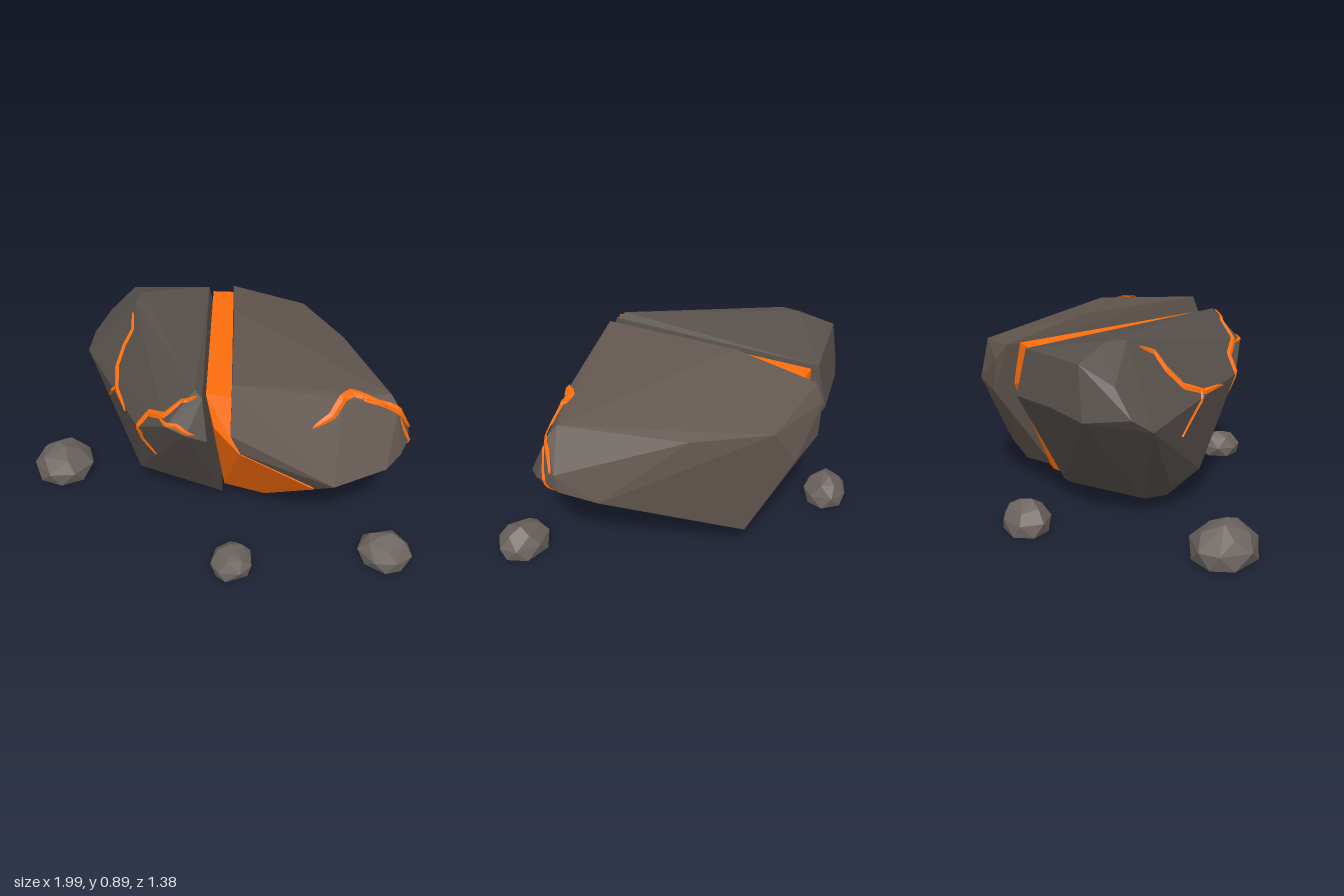
import * as THREE from 'three';
import { ConvexGeometry } from 'three/addons/geometries/ConvexGeometry.js';

const V = (p) => new THREE.Vector3(...p);
const paint = (color, side = THREE.FrontSide) =>
  new THREE.MeshStandardMaterial({ color, side, flatShading: true });

// A faceted rock is the convex hull of its corner points
function hull(name, points, material) {
  const mesh = new THREE.Mesh(new ConvexGeometry(points.map(V)), material);
  mesh.name = name;
  mesh.updateMatrixWorld();
  return mesh;
}

// Raised tapered ribbon: the path is dropped onto the rock from direction d
function crack(name, rock, d, path, width, material) {
  const dir = V(d).normalize();
  const ray = new THREE.Raycaster();
  const spots = [];
  const steps = (path.length - 1) * 4;
  for (let i = 0; i <= steps; i++) {
    const k = Math.min(Math.floor(i / 4), path.length - 2);
    const p = V(path[k]).lerp(V(path[k + 1]), i / 4 - k);
    ray.set(p.addScaledVector(dir, 3), dir.clone().negate());
    const hit = ray.intersectObject(rock)[0];
    if (hit) spots.push({ p: hit.point, n: hit.face.normal });
  }
  const pos = [], index = [], last = spots.length - 1;
  spots.forEach(({ p, n }, i) => {
    const along = spots[Math.min(i + 1, last)].p.clone().sub(spots[Math.max(i - 1, 0)].p);
    const side = along.cross(n).normalize();
    const t = i / last;
    const w = width * (0.15 + 0.85 * Math.pow(Math.sin(Math.PI * t), 0.6));
    const left = p.clone().addScaledVector(side, w).addScaledVector(n, 0.004);
    const right = p.clone().addScaledVector(side, -w).addScaledVector(n, 0.004);
    const ridge = p.clone().addScaledVector(n, 0.011);
    for (const q of [left, ridge, right]) pos.push(q.x, q.y, q.z);
    if (i === 0) return;
    const a = (i - 1) * 3, b = i * 3;
    for (const j of [0, 1]) index.push(a + j, b + j, a + j + 1, b + j, b + j + 1, a + j + 1);
  });
  const geo = new THREE.BufferGeometry();
  geo.setAttribute('position', new THREE.Float32BufferAttribute(pos, 3));
  geo.setIndex(index);
  geo.computeVertexNormals();
  const mesh = new THREE.Mesh(geo, material);
  mesh.name = name;
  return mesh;
}

// Small flat-bottomed stone: jittered rings of [radius, height, corners]
function pebble(name, x, z, rx, rz, h, seed, material) {
  const rand = () => (seed = (seed * 16807) % 2147483647) / 2147483647;
  const turn = seed;
  const points = [];
  for (const [r, y, n] of [[0.95, 0, 7], [1, 0.42, 7], [0.66, 0.8, 5], [0.22, 1, 2]]) {
    for (let i = 0; i < n; i++) {
      const a = turn + y + ((i + 0.35 * rand()) / n) * Math.PI * 2;
      const s = r * (0.94 + 0.12 * rand());
      points.push([x + rx * s * Math.cos(a),
        0.003 + h * y * (0.86 + 0.14 * rand()), z + rz * s * Math.sin(a)]);
    }
  }
  return hull(name, points, material);
}

export function createModel() {
  const model = new THREE.Group();
  const stone = paint(0x62574f);
  const darkStone = paint(0x57504b);
  const pebbleStone = paint(0x6a625d);
  const lava = paint(0xff6e0c);
  const lavaLine = paint(0xff6e0c, THREE.DoubleSide);

  // Narrow half of the split boulder
  const narrow = hull('narrowRockHalf', [
    // top
    [-0.54, 0.89, -0.22], [-0.53, 0.885, -0.13], [0.0, 0.862, 0.44], [-0.29, 0.81, -0.52],
    // outer shoulder
    [-0.72, 0.75, -0.23], [-0.64, 0.83, -0.36], [-0.8, 0.63, -0.18], [-0.8, 0.57, -0.09],
    [-0.7, 0.6, -0.36], [-0.54, 0.62, -0.46], [-0.3, 0.6, -0.57], [-0.26, 0.62, -0.55],
    // front nose
    [-0.28, 0.61, 0.46], [-0.1, 0.72, 0.55], [0.0, 0.7, 0.56], [0.08, 0.66, 0.52], [0.04, 0.84, 0.46],
    // underside
    [-0.42, 0.09, -0.02], [-0.45, 0.15, 0.1], [-0.375, 0.19, 0.262], [-0.39, 0.08, 0.1],
    [0.03, 0.08, 0.19], [-0.14, 0.08, -0.31], [-0.15, 0.105, -0.34],
  ], darkStone);

  // Wide half of the split boulder
  const wide = hull('wideRockHalf', [
    // top
    [0.15, 0.89, 0.39], [-0.05, 0.885, -0.22], [-0.13, 0.82, -0.46], [-0.18, 0.8, -0.59],
    [0.19, 0.735, -0.64], [0.46, 0.725, -0.4], [0.78, 0.765, 0.06], [0.59, 0.795, 0.2],
    // back
    [-0.16, 0.73, -0.64], [0.09, 0.57, -0.69], [-0.13, 0.57, -0.65],
    // outer end
    [0.82, 0.72, 0.08], [0.87, 0.58, 0.0], [0.88, 0.53, 0.06], [0.77, 0.455, -0.16],
    [0.87, 0.5, -0.02], [0.865, 0.5, 0.13], [0.82, 0.47, 0.22],
    // front
    [0.62, 0.43, 0.37], [0.17, 0.68, 0.472], [0.21, 0.58, 0.455], [0.53, 0.36, 0.33],
    // underside
    [0.2, 0.11, 0.15], [0.25, 0.11, 0.14], [0.02, 0.11, -0.37], [0.14, 0.11, -0.48], [0.24, 0.18, -0.54],
  ], stone);

  // Glowing core filling the split
  const core = hull('lavaCore', [
    [-0.26, 0.8, -0.5], [-0.15, 0.8, -0.53], [0.03, 0.81, 0.39], [0.14, 0.81, 0.37],
    [0.08, 0.67, 0.43], [0.205, 0.575, 0.455], [0.525, 0.365, 0.34],
    [0.24, 0.105, 0.165], [0.03, 0.105, 0.16], [-0.14, 0.105, -0.28],
    [0.04, 0.104, -0.38], [-0.02, 0.104, -0.37], [-0.26, 0.65, -0.5], [-0.14, 0.6, -0.56],
  ], lava);
  model.add(narrow, wide, core);

  // Glowing cracks over the rock faces
  const front = [0, 0, 1], end = [1, 0, 0], above = [0, 1, 0];
  const onFront = (list) => list.map(([x, y]) => [x, y, 0]);
  const onEnd = (list) => list.map(([z, y]) => [0, y, z]);
  const onTop = (list) => list.map(([x, z]) => [x, 0, z]);
  const cracks = [
    [narrow, front, onFront([[-0.52, 0.85], [-0.49, 0.81], [-0.52, 0.74], [-0.53, 0.66], [-0.48, 0.61], [-0.38, 0.6]]), 0.018],
    [narrow, front, onFront([[-0.49, 0.62], [-0.53, 0.57], [-0.6, 0.46]]), 0.011],
    [narrow, front, onFront([[0.02, 0.845], [-0.05, 0.81], [-0.12, 0.74], [-0.22, 0.69], [-0.27, 0.62], [-0.27, 0.53], [-0.22, 0.42]]), 0.017],
    [narrow, front, onFront([[-0.15, 0.72], [-0.05, 0.73], [0.03, 0.7]]), 0.011],
    [wide, above, onTop([[0.49, 0.31], [0.56, 0.25], [0.62, 0.15], [0.68, 0.14], [0.77, 0.11]]), 0.022],
    [wide, end, onEnd([[0.15, 0.78], [0.1, 0.73], [0.06, 0.66], [0.02, 0.58]]), 0.017],
    [wide, end, onEnd([[0.09, 0.67], [0.07, 0.58], [0.05, 0.52], [0, 0.46]]), 0.011],
    [wide, end, onEnd([[0.23, 0.345], [0.13, 0.375], [0, 0.375], [-0.13, 0.355]]), 0.065],
  ];
  cracks.forEach(([rock, d, path, w], i) => model.add(crack(`lavaCrack${i + 1}`, rock, d, path, w, lavaLine)));

  // Loose stones on the ground
  [
    [-0.848, 0.213, 0.154, 0.157, 0.17, 11],
    [-0.395, -0.56, 0.115, 0.112, 0.145, 29],
    [0.215, 0.585, 0.097, 0.107, 0.123, 47],
    [0.87, 0.29, 0.128, 0.112, 0.145, 83],
  ].forEach((p, i) => model.add(pebble(`pebble${i + 1}`, ...p, pebbleStone)));

  return model;
}
